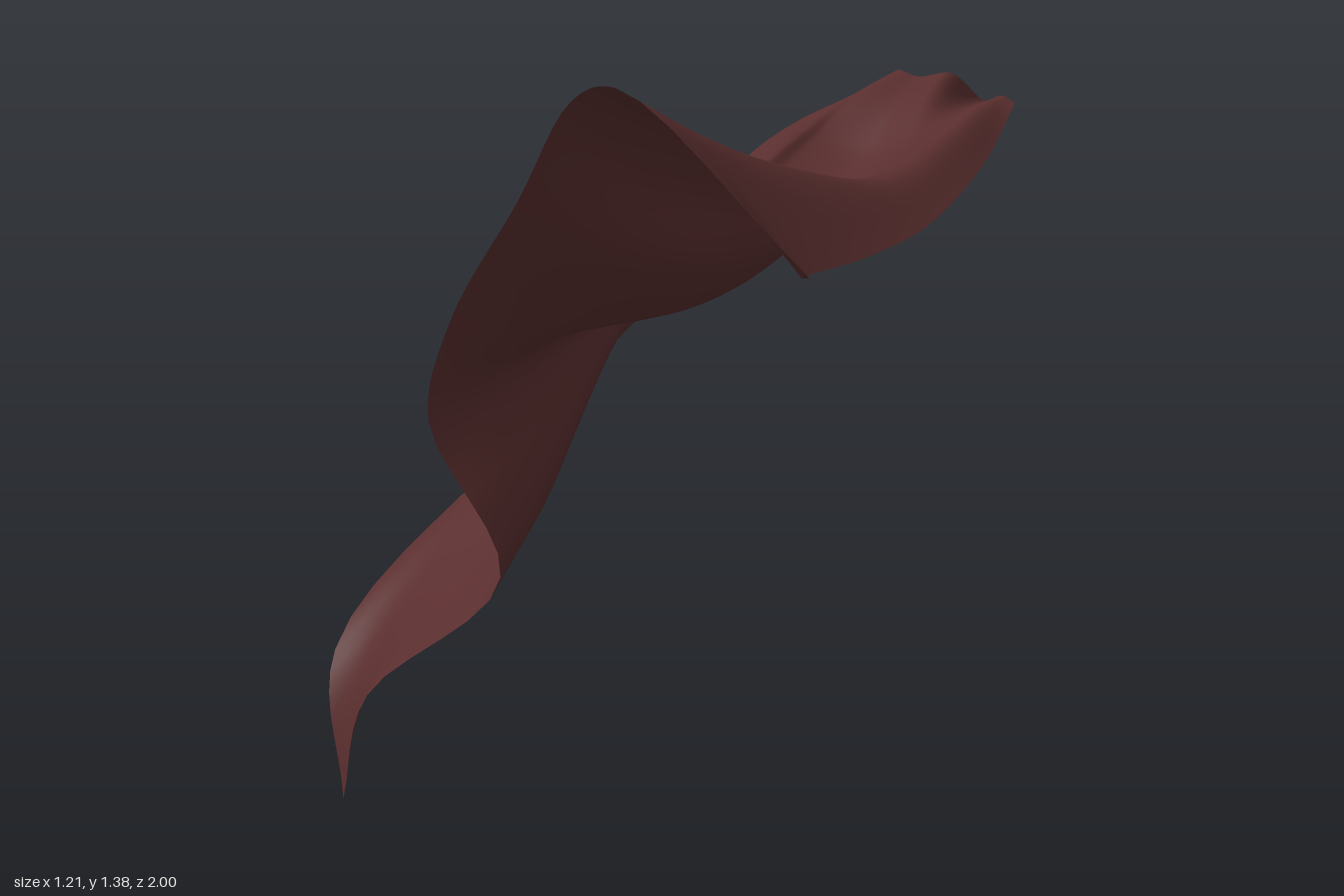
import * as THREE from 'three';

const cloth = new THREE.MeshStandardMaterial({ color: 0x5a2e2e, side: THREE.DoubleSide });
cloth.name = 'dark red cloth';

// One cross-section of the folds, from the -x edge to the +x edge
const section = (z, ...points) => points.map(([x, y, ownZ = z]) => new THREE.Vector3(x, y, ownZ));

function sections() {
  return [
    // Neckline, both ends hooking over the shoulders
    section(-0.95, [-0.28, 1.12], [-0.21, 1.1, -1], [-0.2, 1.15, -0.9], [-0.18, 1.175, -0.86], [-0.13, 1.165, -0.85],
      [-0.07, 1.175, -0.87], [-0.05, 1.1, -1], [0, 1.12, -0.97], [0.04, 1.11]),
    section(-0.6, [-0.365, 0.95], [-0.32, 1.07], [-0.25, 1.09], [-0.23, 1.07], [-0.13, 1.035],
      [-0.04, 1.06], [0.02, 1.09], [0.07, 1.1], [0.135, 1.04]),
    section(-0.25, [-0.405, 0.78], [-0.35, 0.92], [-0.27, 0.965], [-0.245, 0.955], [-0.12, 0.925],
      [-0.03, 0.975], [0, 1.035], [0.1, 1.067], [0.195, 0.988]),
    section(0.12, [-0.477, 0.583], [-0.38, 0.71], [-0.258, 0.81], [-0.26, 0.865], [-0.1, 0.868],
      [0.015, 0.965], [0.03, 1.09], [0.09, 1.143], [0.265, 0.998]),
    section(0.5, [-0.605, 0.26, 0.58], [-0.45, 0.4], [-0.2, 0.565], [-0.257, 0.81], [-0.14, 0.9],
      [0, 1.035], [0.02, 1.18], [0.1, 1.262], [0.45, 1.083, 0.74]),
    // Windblown hem
    section(0.78, [-0.55, 0, 0.645], [-0.43, 0.24, 0.735], [-0.155, 0.49, 0.72], [-0.258, 0.77], [-0.21, 0.95],
      [-0.07, 1.17], [0.035, 1.345], [0.14, 1.38, 0.81], [0.6, 1.14, 1]),
  ];
}

// Loft a smooth sheet: along each fold line first, then across the folds
function loft(rows, nv, nu) {
  const folds = rows[0].map((_, i) => new THREE.CatmullRomCurve3(rows.map((r) => r[i])));
  const pos = [], index = [];
  for (let j = 0; j <= nv; j++) {
    const v = j / nv;
    const across = new THREE.CatmullRomCurve3(folds.map((f) => f.getPoint(v)));
    // The cloth arches over the shoulders between the first two sections
    const arch = 0.018 * Math.sin(Math.PI * Math.min(v * (rows.length - 1), 1));
    for (let i = 0; i <= nu; i++) {
      const p = across.getPoint(i / nu);
      pos.push(p.x, p.y + arch * Math.sin(Math.PI * i / nu), p.z);
      if (i < nu && j < nv) {
        const a = j * (nu + 1) + i, b = a + nu + 1;
        index.push(a, b, a + 1, b, b + 1, a + 1);
      }
    }
  }
  const g = new THREE.BufferGeometry();
  g.setAttribute('position', new THREE.Float32BufferAttribute(pos, 3));
  g.setIndex(index);
  g.computeVertexNormals();
  return g;
}

export function createModel() {
  const group = new THREE.Group();
  group.name = 'cloak';
  const sheet = new THREE.Mesh(loft(sections(), 35, 48), cloth);
  sheet.name = 'billowingCloth';
  group.add(sheet);
  return group;
}
